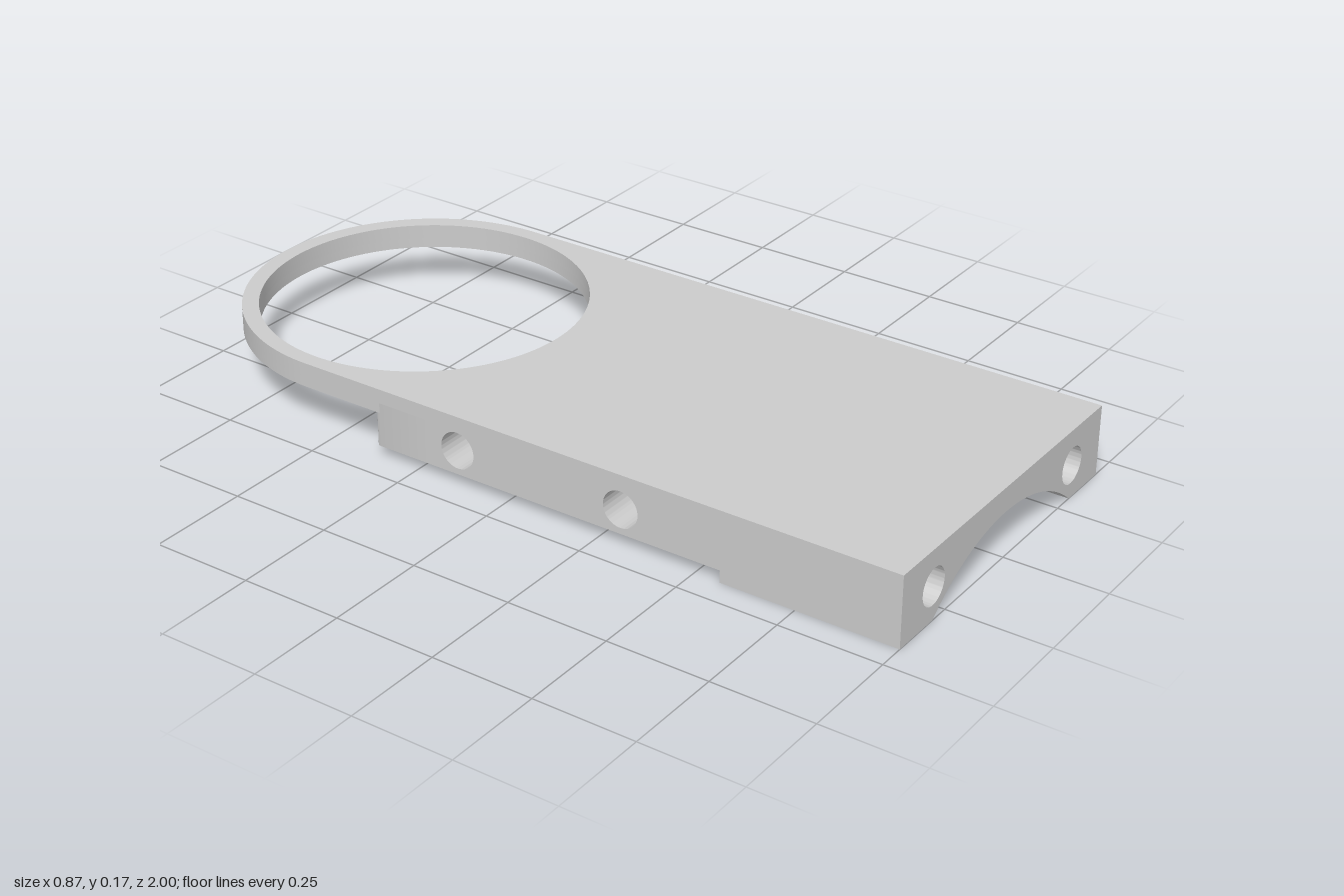
import * as THREE from 'three';
import { toCreasedNormals } from 'three/addons/utils/BufferGeometryUtils.js';

const W = 0.433;        // half width, also the outer radius of the ring
const HOLE_R = 0.393;   // radius of the large opening
const RING = 0.567;     // distance of the ring centre behind the origin
const TOP = 0.175, MID = 0.14, RING_Y = 0.115, FLOOR = 0.03;
const STEP_Z = 0.565;   // where the thick front end begins
const TIP = 0.365;      // rear end of the lower block
const SIDE = 0.253;     // inner face of the drilled side blocks
const BORE_R = 0.045;

const material = new THREE.MeshStandardMaterial({ color: 0xcccccc });

function circle(x, y, r) {
  return new THREE.Path().absarc(x, y, r, 0, Math.PI * 2, true);
}

function extrude(shape, depth) {
  return new THREE.ExtrudeGeometry(shape, { depth, bevelEnabled: false, curveSegments: 64 });
}

// Horizontal slab: the shape is drawn in (x, -z) and fills y0 to y1
function slab(shape, y0, y1) {
  return extrude(shape, y1 - y0).rotateX(-Math.PI / 2).translate(0, y0, 0);
}

export function createModel() {
  const group = new THREE.Group();
  const add = (name, geometry) => {
    const mesh = new THREE.Mesh(toCreasedNormals(geometry, 0.5), material);
    mesh.name = name;
    group.add(mesh);
  };
  const a = Math.asin((RING - TIP) / W); // where the recess meets the block tips

  // Top plate with round end and large opening
  const plate = new THREE.Shape();
  plate.moveTo(-W, -1);
  plate.lineTo(W, -1);
  plate.lineTo(W, RING);
  plate.absarc(0, RING, W, 0, Math.PI, false);
  plate.closePath();
  plate.holes.push(circle(0, RING, HOLE_R));
  add('topPlate', slab(plate, MID, TOP));

  // Lower part of the ring, with its ledge inside the block recess
  const ring = new THREE.Shape();
  ring.moveTo(W, RING);
  ring.absarc(0, RING, W, 0, Math.PI, false);
  ring.lineTo(-W, TIP - 0.02);
  ring.lineTo(-0.38, TIP - 0.02);
  ring.absarc(0, RING, W, Math.PI + a, Math.PI * 2 - a, false);
  ring.lineTo(0.38, TIP - 0.02);
  ring.lineTo(W, TIP - 0.02);
  ring.closePath();
  ring.holes.push(circle(0, RING, HOLE_R));
  add('ring', slab(ring, RING_Y, MID));

  // Middle of the block, with curved recess and rounded tips
  const f = 0.014;
  const core = new THREE.Shape();
  core.moveTo(-SIDE, -STEP_Z);
  core.lineTo(SIDE, -STEP_Z);
  core.lineTo(SIDE, 0.2);
  core.lineTo(W, 0.2);
  core.lineTo(W, TIP - f);
  core.absarc(W - f, TIP - f, f, 0, Math.PI / 2, false);
  core.absarc(0, RING, W, -a, -Math.PI + a, true);
  core.absarc(-W + f, TIP - f, f, Math.PI / 2, Math.PI, false);
  core.lineTo(-W, 0.2);
  core.lineTo(-SIDE, 0.2);
  core.closePath();
  add('blockCore', slab(core, FLOOR, MID));

  // Side blocks, each with two blind bores
  const side = new THREE.Shape();
  side.moveTo(-0.2, FLOOR);
  side.lineTo(STEP_Z, FLOOR);
  side.lineTo(STEP_Z, MID);
  side.lineTo(-0.2, MID);
  side.closePath();
  for (const z of [0.31, -0.13]) side.holes.push(circle(z, 0.09, BORE_R));
  for (const [name, x] of [['leftSideBlock', W], ['rightSideBlock', -SIDE]]) {
    add(name, extrude(side, W - SIDE).rotateY(-Math.PI / 2).translate(x, 0, 0));
  }

  // Thick front end with arched groove and two bores
  const half = 0.302, rise = 0.113;
  const r = (half * half + rise * rise) / (2 * rise);
  const g = Math.asin((r - rise) / r);
  const front = new THREE.Shape();
  front.moveTo(-W, 0);
  front.lineTo(-half, 0);
  front.absarc(0, rise - r, r, Math.PI - g, g, true);
  front.lineTo(W, 0);
  front.lineTo(W, MID);
  front.lineTo(-W, MID);
  front.closePath();
  for (const s of [-1, 1]) front.holes.push(circle(s * 0.304, 0.083, BORE_R));
  add('frontEnd', extrude(front, 1 - STEP_Z).translate(0, 0, STEP_Z));

  // Bowed wall closing the groove at the back
  const bow = Math.asin(0.25 / HOLE_R);
  const wall = new THREE.Shape();
  wall.absarc(0, HOLE_R * Math.cos(bow) - STEP_Z, HOLE_R,
    -Math.PI / 2 - bow, -Math.PI / 2 + bow, false);
  wall.closePath();
  add('grooveEndWall', slab(wall, FLOOR, MID));

  return group;
}
